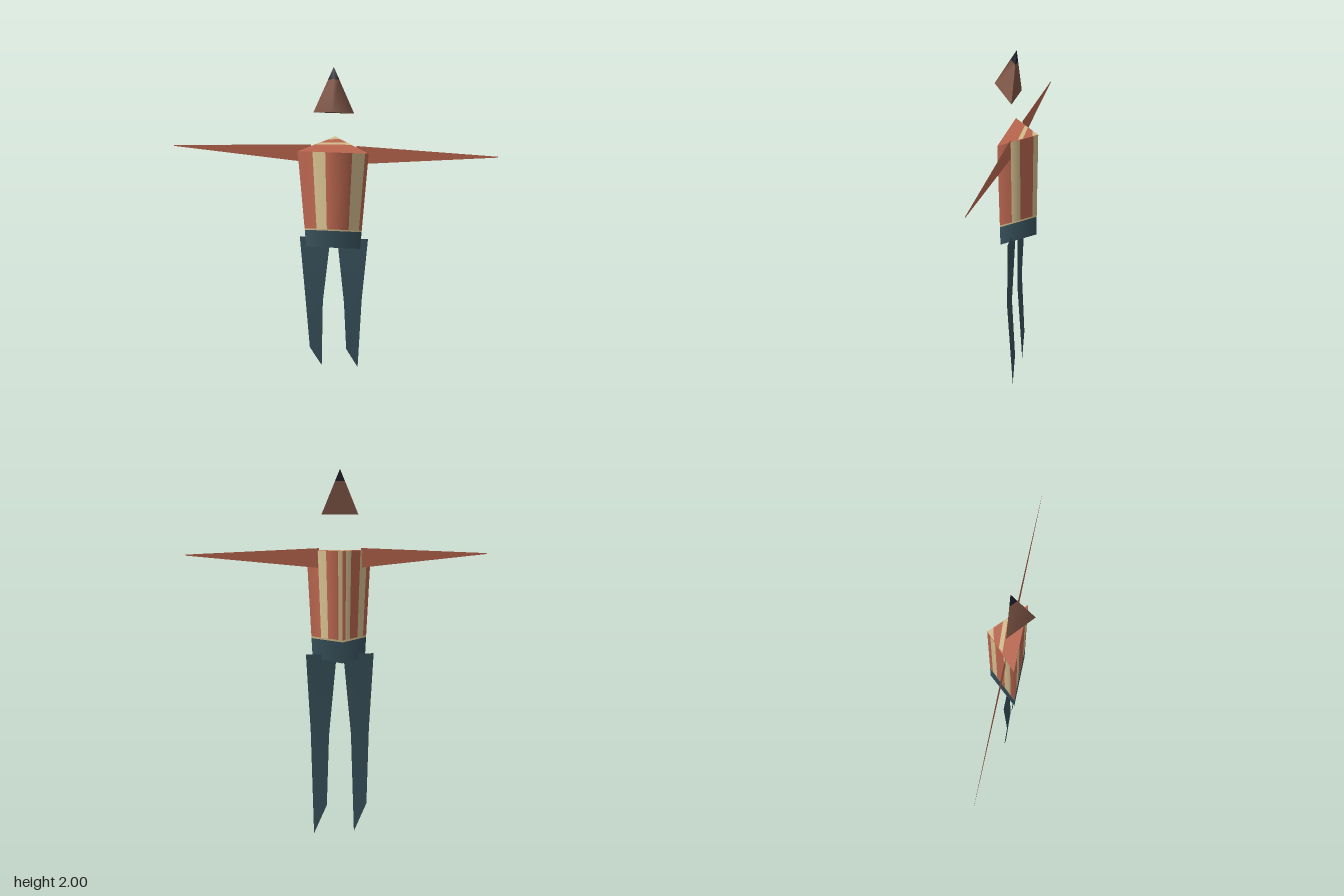
import * as THREE from 'three';

const material = (name, color, side = THREE.FrontSide) => {
  const m = new THREE.MeshStandardMaterial({ color, side });
  m.name = name;
  return m;
};

// Indexed surface from a few corners; shared corners are shaded smoothly
function surface(name, points, index, mat) {
  const g = new THREE.BufferGeometry();
  g.setAttribute('position', new THREE.Float32BufferAttribute(points.flat(), 3));
  g.setIndex(index);
  g.computeVertexNormals();
  const mesh = new THREE.Mesh(g, mat);
  mesh.name = name;
  return mesh;
}

// Flat convex polygon
function panel(name, points, mat) {
  const index = [];
  for (let i = 1; i < points.length - 1; i++) index.push(0, i, i + 1);
  return surface(name, points, index, mat);
}

export function createModel() {
  const red = material('shirtRed', 0xb9664f, THREE.DoubleSide);
  const cream = material('shirtCream', 0xd3bd8d, THREE.DoubleSide);
  const teal = material('trouserTeal', 0x39525c, THREE.DoubleSide);
  const brown = material('skinBrown', 0x7d5444);
  const dark = material('hairDark', 0x1f1d27);
  const model = new THREE.Group();

  // Torso: three-sided prism tapering to the waist, with rounded shading
  const Y0 = 1.0, Y1 = 1.585;
  const corners = [[-1, 0.05], [1, 0.05], [0, -0.11]];
  const corner = (i, y) => {
    const [sx, z] = corners[i % 3];
    return new THREE.Vector3(sx * (0.145 + 0.028 * (y - Y0) / (Y1 - Y0)), y, z);
  };
  const cornerNormal = (i) => {
    const c = corner(i, 1.3);
    return new THREE.Vector3(c.x, 0, c.z).normalize();
  };
  const torso = new THREE.Group();
  torso.name = 'torso';
  const wall = (name, side, t0, t1, y0, y1, mat) => {
    const pos = [], nor = [];
    for (const [t, y] of [[t0, y0], [t1, y0], [t1, y1], [t0, y1]]) {
      pos.push(...corner(side, y).lerp(corner(side + 1, y), t).toArray());
      nor.push(...cornerNormal(side).lerp(cornerNormal(side + 1), t).normalize().toArray());
    }
    const g = new THREE.BufferGeometry();
    g.setAttribute('position', new THREE.Float32BufferAttribute(pos, 3));
    g.setAttribute('normal', new THREE.Float32BufferAttribute(nor, 3));
    g.setIndex([0, 1, 2, 0, 2, 3]);
    const mesh = new THREE.Mesh(g, mat);
    mesh.name = name;
    torso.add(mesh);
  };
  // Stripe edges along each wall, alternating red and cream
  const stripes = [
    [0, 0.21, 0.39, 0.77, 0.95, 1],
    [0, 0.32, 0.55, 0.88, 1],
    [0, 0.12, 0.3, 0.62, 0.86, 1],
  ];
  stripes.forEach((edges, side) => {
    wall('waistband', side, 0, 1, Y0, 1.112, teal);
    wall('shirtHem', side, 0, 1, 1.112, 1.122, cream);
    for (let i = 0; i < edges.length - 1; i++) {
      wall('shirtStripe', side, edges[i], edges[i + 1], 1.122, Y1, i % 2 ? cream : red);
    }
  });

  // Closed ends of the torso, with stripes across the top
  const ring = (y) => [0, 1, 2].map((i) => corner(i, y).toArray());
  torso.add(panel('shirtTop', ring(Y1), red));
  torso.add(panel('torsoBottom', ring(Y0).reverse(), teal));
  const T = Y1 + 0.002;
  torso.add(panel('topStripe', [[-0.04, T, -0.07], [0.025, T, -0.086], [0, T, -0.11]], cream));
  torso.add(panel('topStripe',
    [[-0.09, T, -0.02], [0.085, T, -0.028], [0.065, T, -0.048], [-0.07, T, -0.04]].reverse(), cream));
  model.add(torso);

  // Arms: thin pointed blades
  for (const s of [-1, 1]) {
    model.add(panel(s > 0 ? 'leftArm' : 'rightArm', [
      [s * 0.112, 1.494, 0], [s * 0.8, 1.562, 0.002],
      [s * 0.8, 1.567, 0.002], [s * 0.112, 1.597, 0],
    ], red));
  }

  // Legs: thin sheets in pairs of edge points from hip to knee to foot
  const leg = (name, rows) => {
    const points = rows.flat();
    const index = [];
    for (let i = 0; i < rows.length - 1; i++) {
      const a = 2 * i;
      index.push(a, a + 2, a + 1, a + 1, a + 2, a + 3);
    }
    model.add(surface(name, points, index, teal));
  };
  leg('rightLeg', [
    [[-0.185, 1.03, 0], [-0.018, 1.03, 0]],
    [[-0.164, 0.6, 0.012], [-0.063, 0.57, 0.012]],
    [[-0.15, 0.165, -0.01], [-0.078, 0, -0.015]],
  ]);
  leg('leftLeg', [
    [[0.018, 1.03, 0], [0.185, 1.03, 0]],
    [[0.06, 0.57, 0.012], [0.162, 0.6, 0.012]],
    [[0.076, 0.165, -0.01], [0.15, 0, -0.015]],
  ]);

  // Head: wedge with a pointed face and a dark tip
  const apex = new THREE.Vector3(0, 2, 0);
  const base = [[-0.097, 1.77, 0], [0, 1.83, 0.11], [0.097, 1.77, 0]];
  const cut = base.map((p) => apex.clone().lerp(new THREE.Vector3(...p), 0.27).toArray());
  const tip = apex.toArray();
  const head = new THREE.Group();
  head.name = 'head';
  head.add(surface('face', [...base, ...cut], [0, 1, 4, 0, 4, 3, 1, 2, 5, 1, 5, 4], brown));
  head.add(panel('headBack', [base[0], cut[0], cut[2], base[2]], brown));
  head.add(panel('chin', [base[0], base[2], base[1]], brown));
  head.add(surface('hairFront', [...cut, tip], [0, 1, 3, 1, 2, 3], dark));
  head.add(panel('hairBack', [cut[0], tip, cut[2]], dark));
  model.add(head);

  return model;
}
